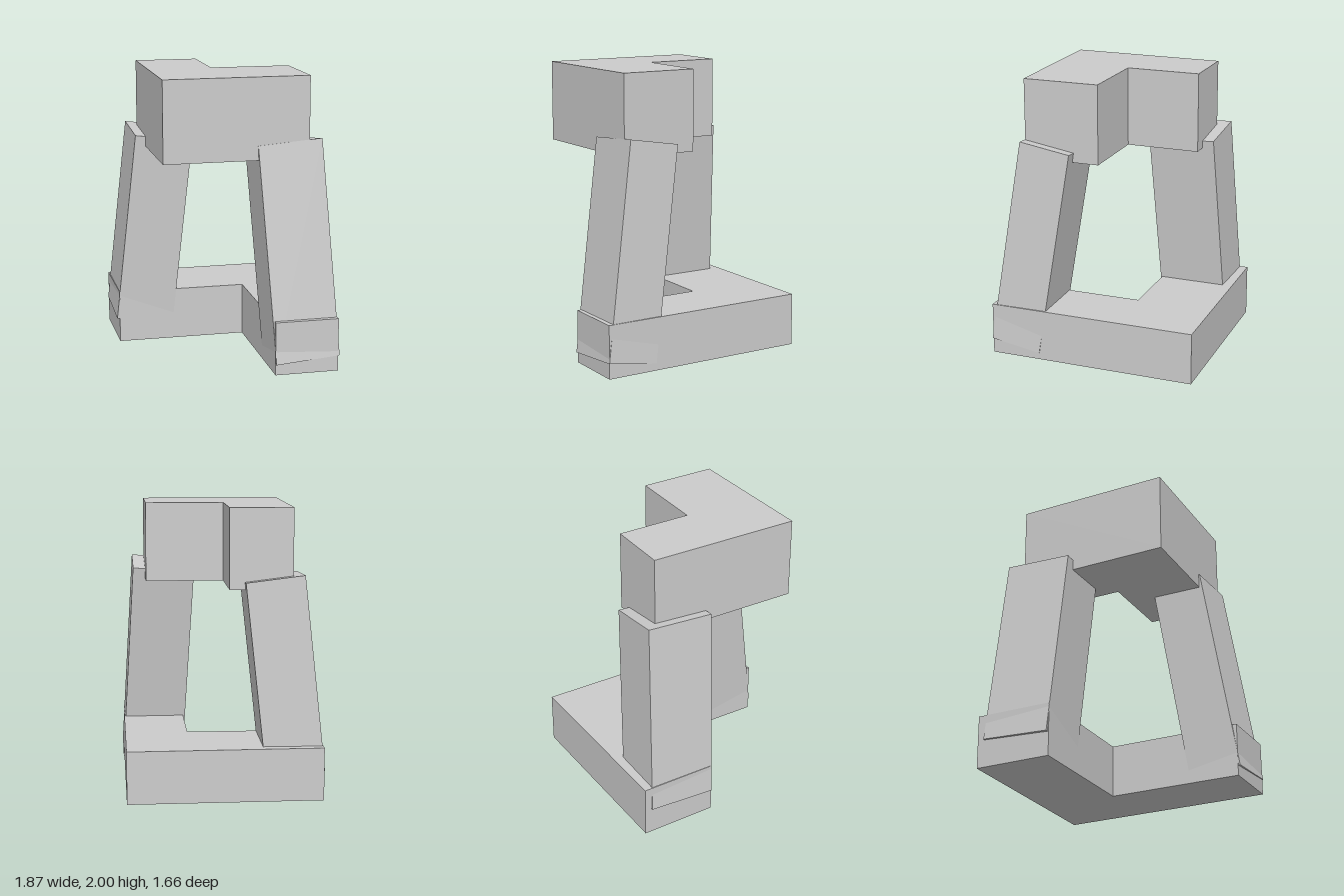
import * as THREE from 'three';

const material = new THREE.MeshStandardMaterial({ color: 0xcccccc, flatShading: true });

// L-shaped block: outline given as [x, z] corners, raised from y0 to y1
function lBlock(name, outline, y0, y1) {
  const shape = new THREE.Shape(outline.map(([x, z]) => new THREE.Vector2(x, -z)));
  const geometry = new THREE.ExtrudeGeometry(shape, { depth: y1 - y0, bevelEnabled: false });
  geometry.rotateX(-Math.PI / 2).translate(0, y0, 0);
  const mesh = new THREE.Mesh(geometry, material);
  mesh.name = name;
  return mesh;
}

// Leaning post: a box spanned by three edges (width, up, depth) from its top corner
function post(name, corner, width, up, depth) {
  const [c, w, u, d] = [corner, width, up, depth].map((p) => new THREE.Vector3(...p));
  const centre = c.clone().addScaledVector(w, 0.5).addScaledVector(u, -0.5).addScaledVector(d, 0.5);
  const geometry = new THREE.BoxGeometry(1, 1, 1);
  geometry.applyMatrix4(new THREE.Matrix4().makeBasis(w, u, d).setPosition(centre));
  const mesh = new THREE.Mesh(geometry, material);
  mesh.name = name;
  return mesh;
}

export function createModel() {
  const group = new THREE.Group();
  group.name = 'interlockedFrame';

  // Base, with its corner at the back
  group.add(lBlock('baseBlock', [
    [-0.935, -0.25], [-0.705, 0.24], [0.12, -0.14], [0.52, 0.715], [0.92, 0.53], [0.29, -0.83],
  ], 0, 0.37));

  // Top, with its corner at the front
  group.add(lBlock('topBlock', [
    [-0.67, -0.15], [-0.22, 0.83], [0.685, 0.4], [0.455, -0.09], [-0.05, 0.14], [-0.27, -0.335],
  ], 1.44, 2));

  // Posts leaning outwards at the foot, joining the free arms
  group.add(post('leftPost', [0.21, 1.48, 0.23], [0.4, 0.035, -0.195], [-0.165, 1.465, -0.165], [0.155, 0.06, 0.33]));
  group.add(post('rightPost', [-0.77, 1.545, -0.2], [0.37, -0.05, -0.165], [0.155, 1.35, 0], [0.2, -0.025, 0.44]));

  return group;
}
